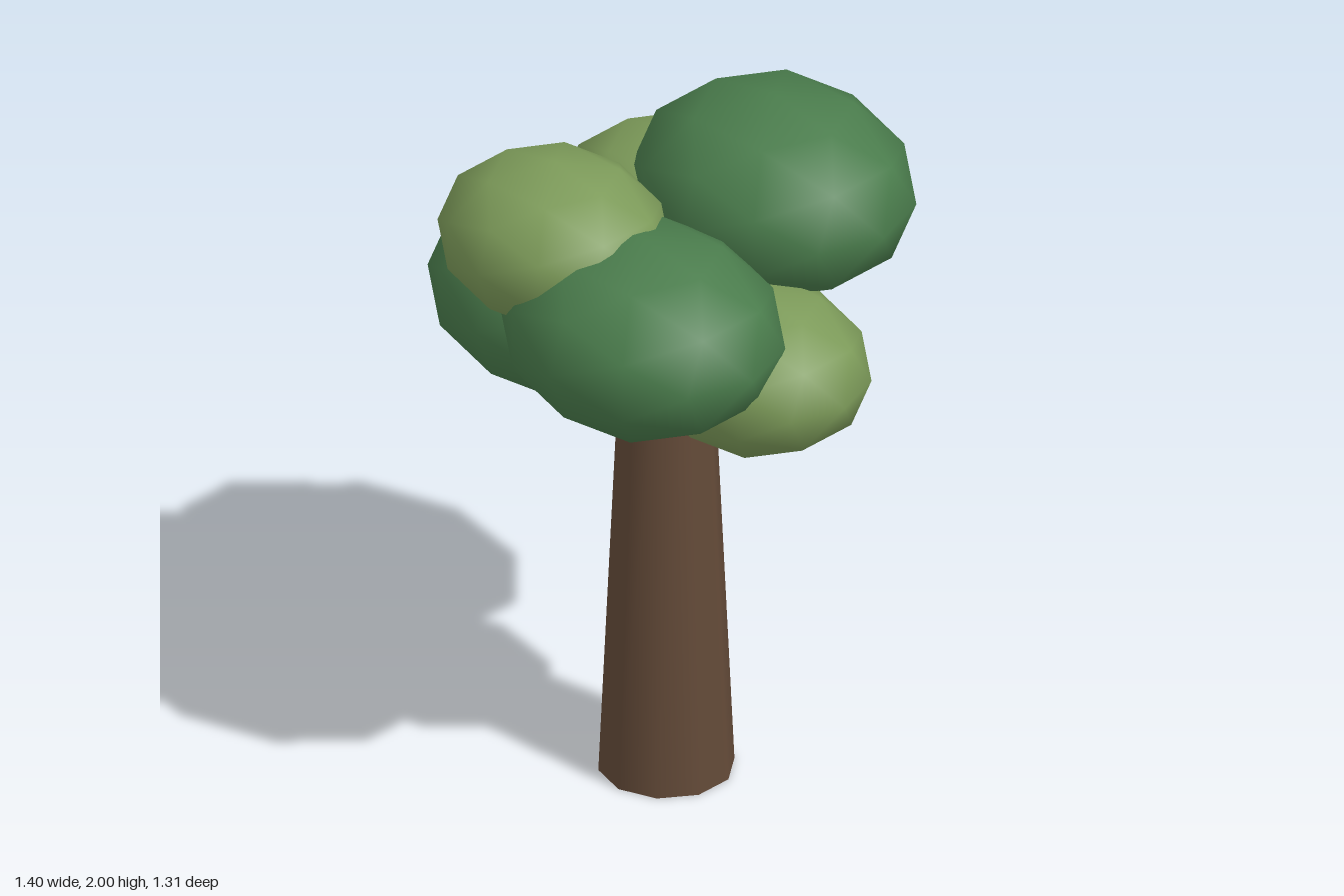
import * as THREE from 'three';

export function createModel() {
  const tree = new THREE.Group();
  tree.name = 'tree';

  const bark = new THREE.MeshStandardMaterial({ color: 0x634a38 });
  const darkLeaf = new THREE.MeshStandardMaterial({ color: 0x4a7c4c });
  const lightLeaf = new THREE.MeshStandardMaterial({ color: 0x7c9a59 });

  // Tapered ten-sided trunk, its top hidden among the foliage
  const height = 1.39;
  const trunk = new THREE.Mesh(new THREE.CylinderGeometry(0.123, 0.186, height, 10), bark);
  trunk.name = 'trunk';
  trunk.position.set(0.034, height / 2, 0.02);
  tree.add(trunk);

  // Foliage clumps: one faceted ball, flattened and scaled
  const ball = new THREE.IcosahedronGeometry(1, 1);
  function addClump(name, material, size, x, y, z) {
    const clump = new THREE.Mesh(ball, material);
    clump.name = name;
    clump.scale.set(0.412 * size, 0.283 * size, 0.36 * size);
    clump.position.set(x, y, z);
    tree.add(clump);
  }

  // Large dark clumps
  addClump('topBackFoliage', darkLeaf, 1, 0.13, 1.717, -0.297);
  addClump('frontLeftFoliage', darkLeaf, 1, 0.212, 1.55, 0.295);
  addClump('rightFoliage', darkLeaf, 1, -0.288, 1.382, 0.06);

  // Smaller light clumps
  addClump('topFrontFoliage', lightLeaf, 0.82, -0.103, 1.717, 0.312);
  addClump('leftFoliage', lightLeaf, 0.82, 0.36, 1.38, 0.015);
  addClump('backRightFoliage', lightLeaf, 0.82, -0.18, 1.55, -0.235);

  return tree;
}
